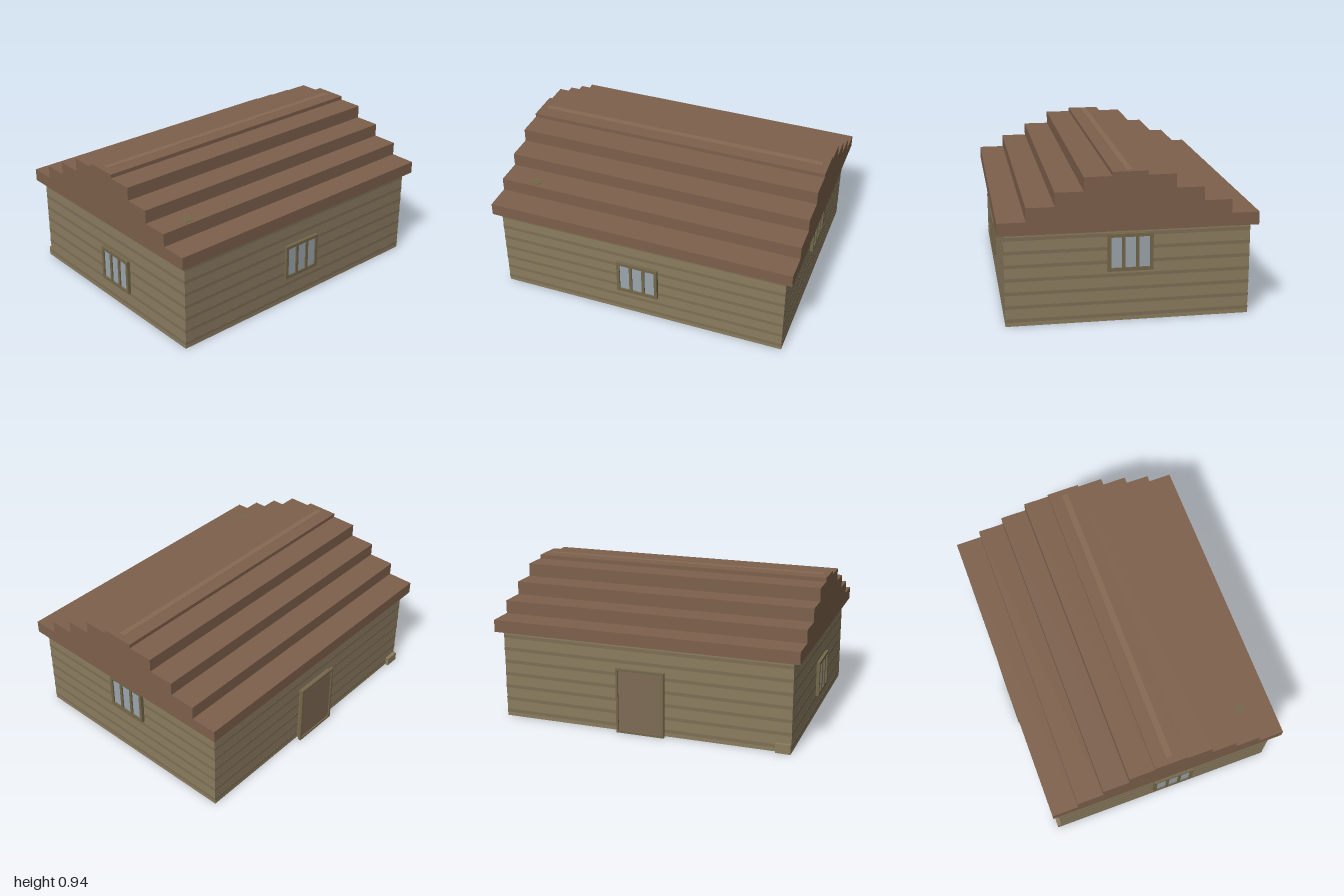
import * as THREE from 'three';

const mat = (color) => new THREE.MeshStandardMaterial({ color });
const wallMat = mat(0x8b7c5f), bandMat = mat(0x7d6f56), roofMat = mat(0x7d604b), ridgeMat = mat(0x866952);
const frameMat = mat(0x736749), glassMat = mat(0x9ba6ad), doorMat = mat(0x7e6a55);

// Box given by its lower and upper corners
function box(name, material, [x0, y0, z0], [x1, y1, z1]) {
  const mesh = new THREE.Mesh(new THREE.BoxGeometry(x1 - x0, y1 - y0, z1 - z0), material);
  mesh.position.set((x0 + x1) / 2, (y0 + y1) / 2, (z0 + z1) / 2);
  mesh.name = name;
  return mesh;
}

// Rectangular panel with rectangular openings [x0, y0, x1, y1], extruded along +z
function frame(name, [x0, y0, x1, y1], openings, depth) {
  const rect = (path, a, b, c, d) =>
    path.moveTo(a, b).lineTo(c, b).lineTo(c, d).lineTo(a, d).closePath();
  const shape = rect(new THREE.Shape(), x0, y0, x1, y1);
  for (const o of openings) shape.holes.push(rect(new THREE.Path(), ...o));
  const mesh = new THREE.Mesh(
    new THREE.ExtrudeGeometry(shape, { depth, bevelEnabled: false }), frameMat);
  mesh.name = name;
  return mesh;
}

// Three-pane window facing +z, standing on its own lower edge
function makeWindow(name) {
  const group = new THREE.Group();
  group.name = name;
  const panes = [-1, 0, 1].map((i) => [i * 0.085 - 0.033, 0.021, i * 0.085 + 0.033, 0.212]);
  group.add(frame('windowFrame', [-0.138, 0, 0.138, 0.233], panes, 0.021));
  for (const [x0, y0, x1, y1] of panes) {
    group.add(box('windowPane', glassMat, [x0, y0, 0], [x1, y1, 0.012]));
  }
  return group;
}

export function createModel() {
  const model = new THREE.Group();
  model.name = 'house';

  // Walls with slightly darker horizontal plank bands
  model.add(box('walls', wallMat, [-0.955, 0, -0.745], [0.955, 0.59, 0.745]));
  for (let i = 0; i < 7; i++) {
    const y = 0.025 + i * 0.085;
    model.add(box('plankBand', bandMat, [-0.956, y, -0.746], [0.956, y + 0.022, 0.746]));
  }

  // Stepped gable roof: half profile [half depth, top height], mirrored and extruded along x
  const steps = [[0.785, 0.66], [0.615, 0.745], [0.445, 0.83], [0.275, 0.915], [0.107, 0.94]];
  const half = [];
  let y = 0.58;
  for (const [z, top] of steps) {
    half.push([z, y], [z, top]);
    y = top;
  }
  const outline = [...half, ...half.map(([z, h]) => [-z, h]).reverse()];
  const roofShape = new THREE.Shape(outline.map(([z, h]) => new THREE.Vector2(z, h)));
  const roof = new THREE.Mesh(
    new THREE.ExtrudeGeometry(roofShape, { depth: 2, bevelEnabled: false }), roofMat);
  roof.name = 'roof';
  roof.rotation.y = Math.PI / 2;
  roof.position.x = -1;
  model.add(roof);

  // Ridge strip and flue cap, nearly flush with the roof
  model.add(box('ridgeStrip', ridgeMat, [-0.96, 0.93, -0.02], [0.96, 0.9415, 0.02]));
  model.add(box('flueCap', frameMat, [-0.81, 0.735, 0.53], [-0.75, 0.7465, 0.59]));

  // Windows on the front and both sides: position and turn
  const windows = [
    ['frontWindow', -0.0125, 0.174, 0.745, 0],
    ['leftWindow', 0.955, 0.321, -0.008, Math.PI / 2],
    ['rightWindow', -0.955, 0.131, 0.06, -Math.PI / 2],
  ];
  for (const [name, x, h, z, turn] of windows) {
    const w = makeWindow(name);
    w.position.set(x, h, z);
    w.rotation.y = turn;
    model.add(w);
  }

  // Back door: panel against the wall with a slim surround in front
  const door = new THREE.Group();
  door.name = 'backDoor';
  door.add(box('doorPanel', doorMat, [-0.138, 0, -0.768], [0.153, 0.405, -0.745]));
  const surround = frame('doorSurround', [-0.152, 0, 0.167, 0.426], [[-0.138, 0.014, 0.153, 0.412]], 0.018);
  surround.position.z = -0.785;
  door.add(surround);
  door.add(box('doorFace', doorMat, [-0.138, 0.014, -0.776], [0.153, 0.412, -0.767]));
  model.add(door);

  // Small block at the foot of the back corner
  model.add(box('cornerBlock', wallMat, [-0.955, 0, -0.768], [-0.86, 0.06, -0.745]));

  return model;
}
